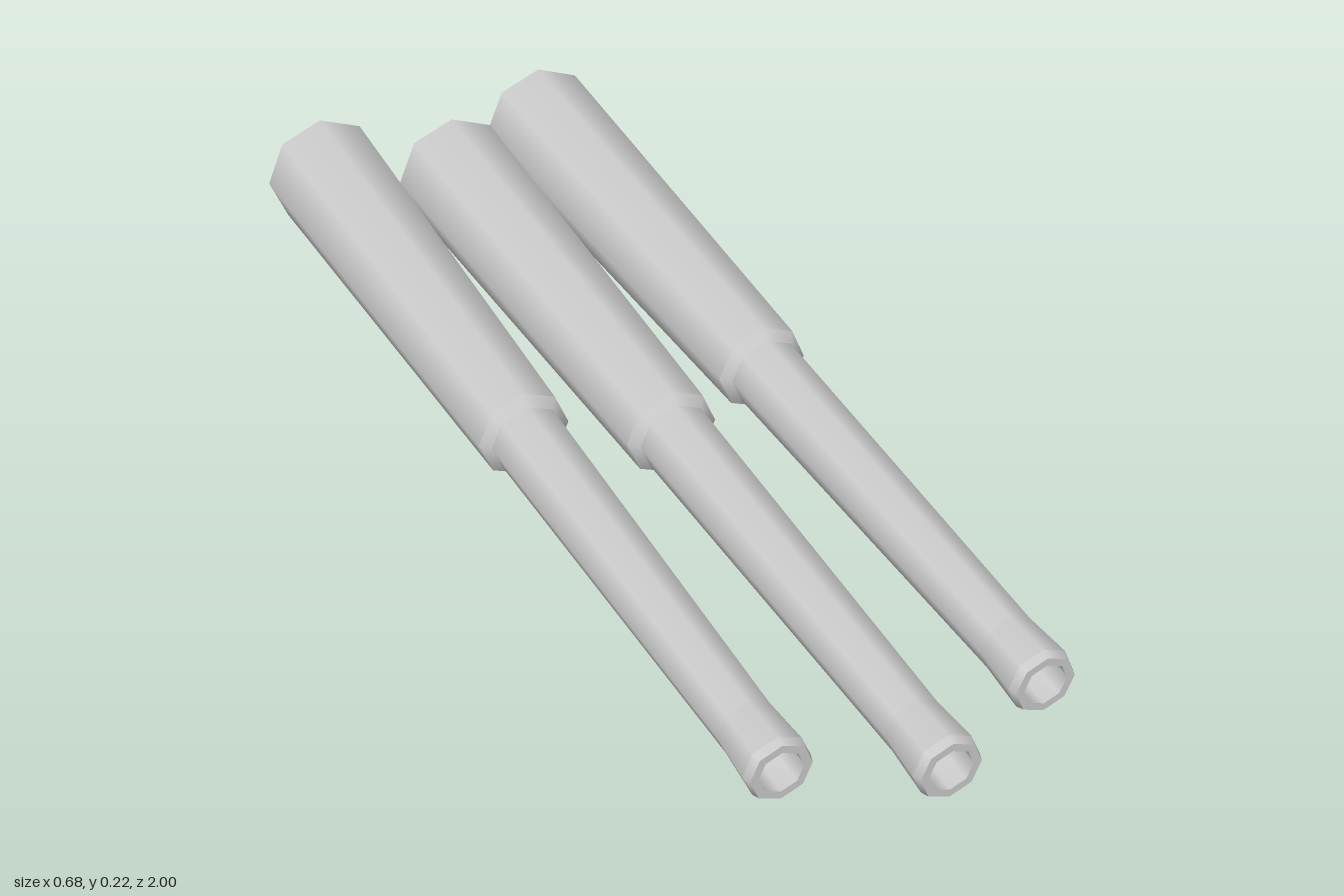
import * as THREE from 'three';
import { mergeGeometries } from 'three/addons/utils/BufferGeometryUtils.js';

const SIDES = 8;
const material = new THREE.MeshStandardMaterial({ color: 0xcccccc, side: THREE.DoubleSide });

// Turns each run of [radius, z] points on its own, so edges between runs stay sharp
function turned(name, runs) {
  const bands = runs.map(run =>
    new THREE.LatheGeometry(run.map(([r, z]) => new THREE.Vector2(r, z)), SIDES));
  const geometry = mergeGeometries(bands);
  geometry.rotateX(Math.PI / 2);
  const mesh = new THREE.Mesh(geometry, material);
  mesh.name = name;
  return mesh;
}

function createBarrel(name) {
  const barrel = new THREE.Group();
  barrel.name = name;
  barrel.add(
    // wide tapered rear jacket, open at the back, with a chamfered front lip
    turned('jacket', [
      [[0.111, -0.895], [0.083, 0.06]],
      [[0.083, 0.06], [0.066, 0.077]],
    ]),
    // slim tapered tube
    turned('tube', [[[0.066, 0.077], [0.051, 0.89]]]),
    // flared muzzle with a bevelled rim
    turned('muzzle', [
      [[0.051, 0.89], [0.057, 0.985]],
      [[0.057, 0.985], [0.052, 1]],
      [[0.052, 1], [0.038, 1]],
    ]),
    // blind bore
    turned('bore', [[[0.038, 1], [0.036, 0.92], [0, 0.9]]]),
  );
  return barrel;
}

export function createModel() {
  const model = new THREE.Group();
  model.name = 'tripleBarrels';
  // the middle barrel sits forward of the outer pair
  [['rightBarrel', -0.227, -0.105], ['middleBarrel', 0, 0], ['leftBarrel', 0.227, -0.105]]
    .forEach(([name, x, z]) => {
      const barrel = createBarrel(name);
      barrel.position.set(x, 0.111, z);
      model.add(barrel);
    });
  return model;
}
